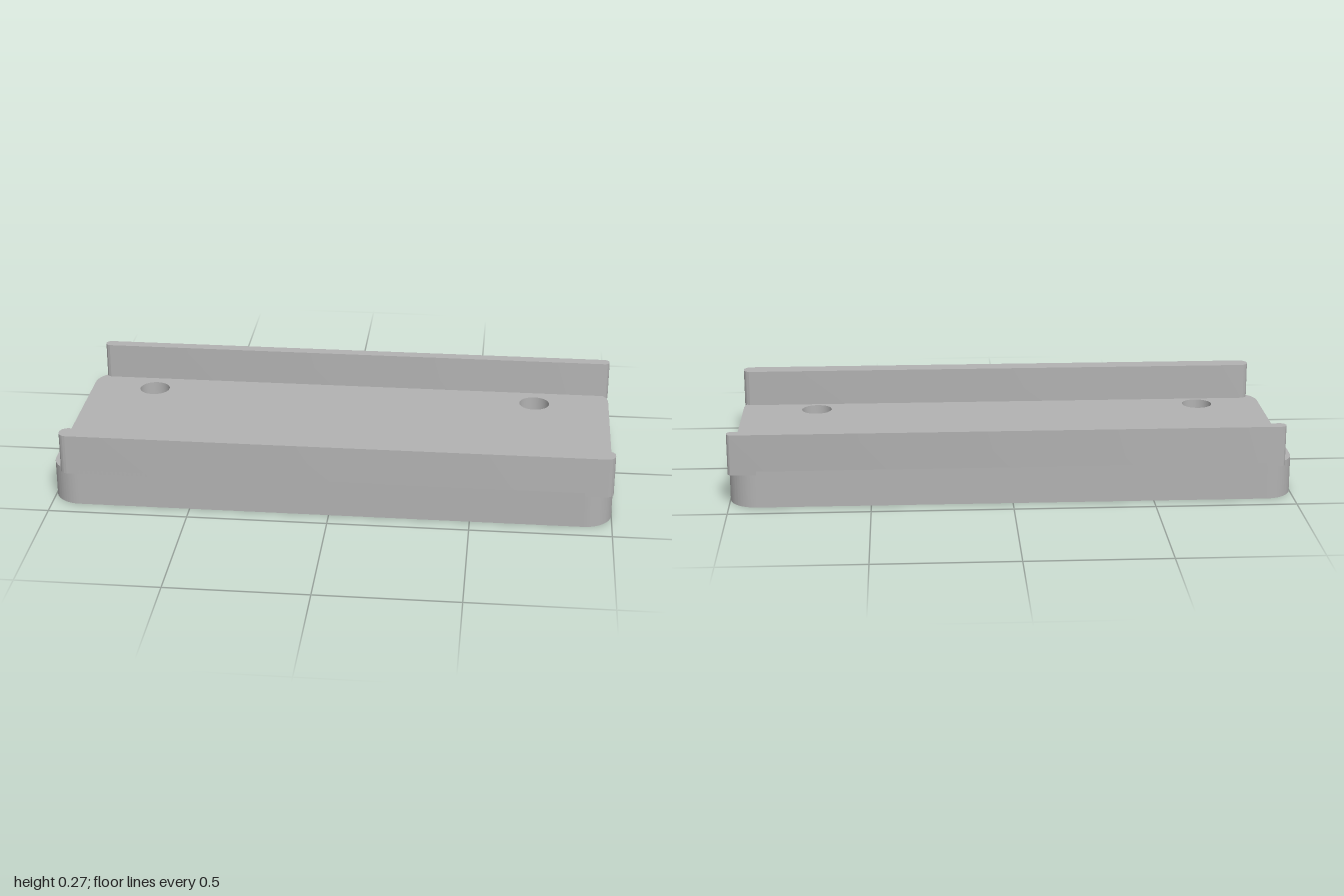
import * as THREE from 'three';
import { toCreasedNormals } from 'three/addons/utils/BufferGeometryUtils.js';

// Rectangle with rounded corners, drawn in x and -z
function roundedRect(x0, x1, z0, z1, r) {
  const s = new THREE.Shape();
  const y0 = -z1, y1 = -z0;
  s.moveTo(x0 + r, y0);
  s.lineTo(x1 - r, y0);
  s.absarc(x1 - r, y0 + r, r, -Math.PI / 2, 0, false);
  s.lineTo(x1, y1 - r);
  s.absarc(x1 - r, y1 - r, r, 0, Math.PI / 2, false);
  s.lineTo(x0 + r, y1);
  s.absarc(x0 + r, y1 - r, r, Math.PI / 2, Math.PI, false);
  s.lineTo(x0, y0 + r);
  s.absarc(x0 + r, y0 + r, r, Math.PI, Math.PI * 1.5, false);
  return s;
}

// Raise a flat outline from y = bottom to y = top
function slab(name, shape, bottom, top, material) {
  const extruded = new THREE.ExtrudeGeometry(shape, {
    depth: top - bottom, bevelEnabled: false, curveSegments: 16,
  });
  extruded.rotateX(-Math.PI / 2);
  extruded.translate(0, bottom, 0);
  const mesh = new THREE.Mesh(toCreasedNormals(extruded, Math.PI / 5), material);
  mesh.name = name;
  return mesh;
}

export function createModel() {
  const model = new THREE.Group();
  model.name = 'railTray';
  const grey = new THREE.MeshStandardMaterial({ color: 0xb2b2b2 });
  grey.name = 'grey';

  // Base plate with four through holes
  const plate = roundedRect(-1, 1, -0.437, 0.437, 0.1);
  for (const x of [-0.757, 0.717]) {
    for (const z of [-0.3, 0.3]) {
      const hole = new THREE.Path();
      hole.absarc(x, z, 0.057, 0, Math.PI * 2, true);
      plate.holes.push(hole);
    }
  }
  model.add(slab('basePlate', plate, 0, 0.133, grey));

  // Side rails, the front one thicker
  model.add(slab('frontRail', roundedRect(-0.967, 1, 0.37, 0.437, 0.03), 0.12, 0.267, grey));
  model.add(slab('backRail', roundedRect(-0.967, 1, -0.437, -0.395, 0.02), 0.12, 0.267, grey));

  return model;
}
